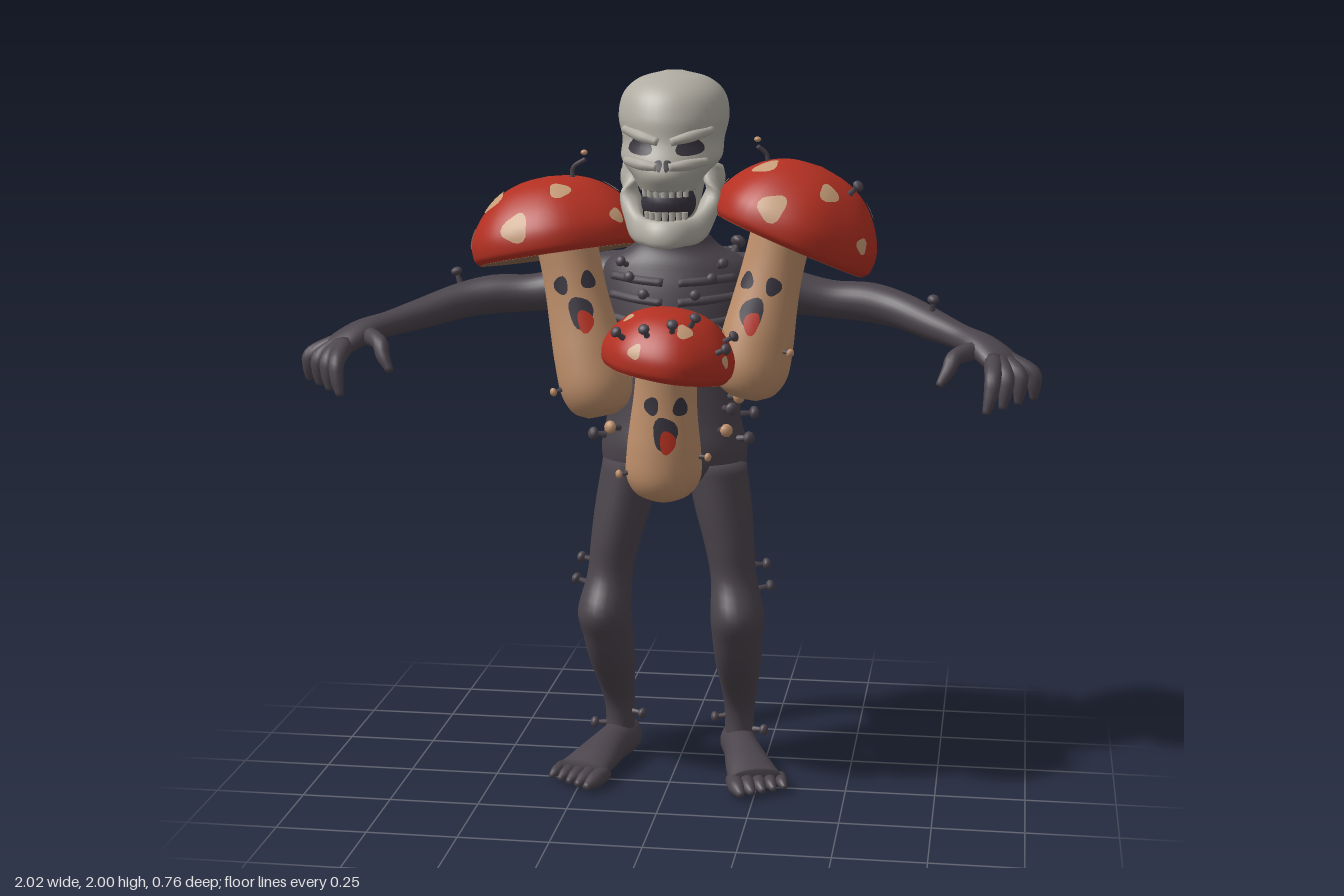
import * as THREE from 'three';

const V = (x, y, z) => new THREE.Vector3(x, y, z);
const X = V(1, 0, 0), Y = V(0, 1, 0), Z = V(0, 0, 1);
const PI = Math.PI;
const flip = (pts, s) => pts.map(([x, ...rest]) => [x * s, ...rest]);

function mat(name, color, side = THREE.FrontSide) {
  const m = new THREE.MeshStandardMaterial({ color, side });
  m.name = name;
  return m;
}

function build(pos, idx) {
  const g = new THREE.BufferGeometry();
  g.setAttribute('position', new THREE.Float32BufferAttribute(pos, 3));
  g.setIndex(idx);
  g.computeVertexNormals();
  return g;
}

// Surface through elliptical rings [x, y, z, radius along ref, radius across]
function loft(pts, { axis = null, ref = Z, seg = 40, rad = 28, close = true, warp = () => 1 } = {}) {
  const curve = list => new THREE.CatmullRomCurve3(list, false, 'catmullrom', 0.5);
  const cen = curve(pts.map(p => V(p[0], p[1], p[2])));
  const radii = curve(pts.map(p => V(p[3], p[4] ?? p[3], 0)));
  const at = (t, a, k = 1) => {
    t = Math.min(1, Math.max(0, t));
    const c = cen.getPoint(t), r = radii.getPoint(t), ax = axis || cen.getTangent(t);
    const u = ref.clone().addScaledVector(ax, -ref.dot(ax)).normalize();
    const v = ax.clone().cross(u);
    k *= warp(t, a);
    return c.addScaledVector(u, Math.cos(a) * Math.max(0, r.x) * k)
      .addScaledVector(v, Math.sin(a) * Math.max(0, r.y) * k);
  };
  const rows = [];
  for (let i = 0; i <= seg; i++) rows.push([i / seg, 1]);
  if (close) { rows.unshift([0, 0]); rows.push([1, 0]); }
  const pos = [], idx = [];
  rows.forEach(([t, k], i) => {
    for (let j = 0; j < rad; j++) {
      pos.push(...at(t, j / rad * PI * 2, k).toArray());
      if (i === rows.length - 1) continue;
      const a = i * rad + j, b = i * rad + (j + 1) % rad;
      idx.push(a, b, a + rad, b, b + rad, a + rad);
    }
  });
  // Partial derivatives along and around the surface
  const e = 0.005;
  const dT = (t, a) => at(t + e, a).sub(at(t - e, a)).divideScalar(2 * e);
  const dA = (t, a) => at(t, a + e).sub(at(t, a - e)).divideScalar(2 * e);
  const normal = (t, a) => dA(t, a).cross(dT(t, a)).normalize();
  return { geo: build(pos, idx), at, dT, dA, normal };
}

// Thin painted blob that hugs a lofted surface; w and h are half sizes
function decal(surf, t0, a0, w, h, lift = 0.004, wobble = 0.1) {
  const n = 18, rings = 4, pos = [], idx = [];
  const st = h / surf.dT(t0, a0).length(), sa = w / surf.dA(t0, a0).length();
  for (let i = 0; i <= rings; i++) for (let j = 0; j < n; j++) {
    const q = j / n * PI * 2, k = i / rings * (1 + wobble * Math.sin(3 * q + a0 * 5));
    const t = t0 + st * k * Math.sin(q), a = a0 + sa * k * Math.cos(q);
    pos.push(...surf.at(t, a).addScaledVector(surf.normal(t, a), lift).toArray());
    if (i === rings) continue;
    const p = i * n + j, r = i * n + (j + 1) % n;
    idx.push(p, p + n, r, r, p + n, r + n);
  }
  return build(pos, idx);
}

export function createModel() {
  const model = new THREE.Group();
  const skin = mat('charred skin', 0x4b444c), bone = mat('bone', 0xb0aca2);
  const red = mat('cap red', 0xb33022), stemTan = mat('stem tan', 0xbd8e6a);
  const gill = mat('gill brown', 0x86664a, THREE.DoubleSide);
  const spot = mat('spot cream', 0xc69c78, THREE.DoubleSide);
  const dark = mat('hollow dark', 0x38343e, THREE.DoubleSide);
  const tongue = mat('tongue red', 0xbb3222, THREE.DoubleSide);
  const add = (name, geo, m, parent = model) => {
    const mesh = new THREE.Mesh(geo, m);
    mesh.name = name;
    parent.add(mesh);
    return mesh;
  };

  // Tiny stalk with a button head, growing out of a lofted surface
  const stalkGeo = new THREE.CylinderGeometry(0.2, 0.3, 1, 6).translate(0, 0.5, 0);
  const headGeo = new THREE.SphereGeometry(0.55, 10, 8).scale(1, 0.75, 1).translate(0, 1.1, 0);
  function sprout(surf, t, a, size = 0.03, head = skin, parent = model) {
    const g = new THREE.Group();
    g.name = 'sprout';
    add('sproutStalk', stalkGeo, skin, g);
    add('sproutHead', headGeo, head, g);
    g.position.copy(surf.at(t, a));
    g.quaternion.setFromUnitVectors(Y, surf.normal(t, a));
    g.scale.setScalar(size);
    parent.add(g);
  }

  // Torso and ribs
  const torso = loft([[0, .83, -.1, .06, .08], [0, .89, -.1, .13, .185], [0, .96, -.1, .147, .205], [0, 1.05, -.085, .115, .188],
    [0, 1.15, -.11, .13, .188], [0, 1.3, -.15, .155, .205], [0, 1.4, -.17, .157, .22], [0, 1.47, -.165, .13, .2],
    [0, 1.53, -.13, .075, .11], [0, 1.62, -.09, .05, .06]], { axis: Y, rad: 40, seg: 60 });
  add('torso', torso.geo, skin);
  for (let i = 0; i < 4; i++) for (const s of [-1, 1]) {
    const rib = [.1, .45, .9].map(a => [...torso.at((4.4 + i * .65 + a * .2) / 9, s * a).toArray(), .012]);
    add('rib', loft(rib, { ref: Y, seg: 12, rad: 10 }).geo, skin);
  }

  for (const s of [-1, 1]) {
    // Leg, foot and toes
    const leg = loft(flip([[.18, .03, -.21, .06, .045], [.175, .13, -.21, .05, .042], [.178, .21, -.185, .055, .048],
      [.182, .33, -.11, .09, .064], [.185, .42, -.06, .1, .07], [.188, .5, -.025, .1, .075], [.175, .6, -.045, .076, .064],
      [.16, .7, -.058, .088, .07], [.14, .8, -.08, .108, .08], [.115, .93, -.1, .12, .085]], s), { axis: Y });
    add('leg', leg.geo, skin);
    for (const t of [.08, .63, .7]) sprout(leg, t, s * (1.2 + t), .03);
    sprout(leg, .13, -s * 1.2, .028);
    add('foot', loft(flip([[.15, .04, -.285, .03, .025], [.165, .055, -.24, .053, .05], [.19, .055, -.15, .053, .052],
      [.22, .045, -.05, .044, .066], [.25, .033, .03, .03, .078]], s), { ref: Y }).geo, skin);
    for (let i = 0; i < 5; i++) {
      const o = (i - 2) * .032, x = .25 + o, z = .03 - o * .35, l = .075 - i * .008, r = .024 - i * .002;
      add('toe', loft(flip([[x, .027, z - .03, r], [x + l * .2, .027, z + l * .4, r * .95],
        [x + l * .45, .02, z + l, r * .4]], s), { ref: Y, seg: 12, rad: 12 }).geo, skin);
    }

    // Arm and palm
    const arm = loft(flip([[.08, 1.4, -.19, .09], [.2, 1.405, -.21, .085, .09], [.3, 1.385, -.22, .064, .07],
      [.42, 1.365, -.22, .053, .056], [.53, 1.36, -.205, .055, .058], [.62, 1.345, -.165, .05, .053], [.71, 1.32, -.09, .043, .046],
      [.79, 1.3, -.01, .035, .038], [.85, 1.285, .05, .034, .05], [.9, 1.255, .1, .03, .058], [.925, 1.225, .125, .02, .04]], s),
      { ref: Y, seg: 50 });
    add('arm', arm.geo, skin);
    sprout(arm, s < 0 ? .49 : .6, .2);

    // Thumb and four drooping fingers
    const digit = (name, base, mid, tip) => add(name, loft(flip([[...base, .026], [...mid, .022],
      [...mid.map((m, i) => (m + tip[i]) / 2 + .004), .019], [...tip, .01]], s), { ref: X, seg: 16, rad: 12 }).geo, skin);
    digit('thumb', [.835, 1.28, .06], [.78, 1.27, .13], [.74, 1.2, .175]);
    for (let i = 0; i < 4; i++)
      digit('finger', [.88 + i * .01, 1.26, .12 - i * .013], [.88 + i * .033, 1.23, .2 - i * .033],
        [.865 + i * .041, 1.14 + .006 * i, .235 - i * .045]);

    // Ragged strap crossing the back, beset with sprouts
    const strap = [];
    for (let i = 0; i <= 8; i++) {
      const t = (4 + 3.1 * i / 8) / 9, a = PI + s * (1.15 - i / 4);
      strap.push([...torso.at(t, a).toArray(), .016, .034]);
      sprout(torso, t + .012 * Math.sin(i * 4), a, .04);
    }
    add('backStrap', loft(strap, { warp: (t, a) => 1 + .2 * Math.sin(t * 60) + .12 * Math.sin(t * 37 + a) }).geo, skin);

    // Sprouts along the flanks and chest
    for (let i = 0; i < 6; i++) sprout(torso, .27 + i * .035, s * (1.2 + .5 * Math.sin(i * 4)), .034, i % 3 === 1 ? stemTan : skin);
    for (let i = 0; i < 3; i++) sprout(torso, .66 + i * .06, s * (.3 + i * .2), .028);
  }

  // Skull
  const skull = loft([[0, 1.69, .025, .085, .075], [0, 1.73, .005, .125, .1], [0, 1.77, -.04, .158, .135], [0, 1.82, -.08, .178, .138],
    [0, 1.88, -.088, .177, .15], [0, 1.94, -.095, .155, .138], [0, 1.98, -.095, .1, .095], [0, 2, -.095, .025, .025]],
    { axis: Y, rad: 40, seg: 50 });
  add('skull', skull.geo, bone);
  add('boneNeck', loft([[0, 1.48, -.12, .05], [0, 1.58, -.09, .052, .06], [0, 1.72, -.08, .07, .09]], { axis: Y }).geo, bone);

  // Open jaw, mouth and teeth
  add('mouthHollow', new THREE.SphereGeometry(1, 20, 14).scale(.075, .06, .07).translate(0, 1.655, .015), dark);
  const halfJaw = [[-.118, 1.75, -.06, .02, .03], [-.11, 1.66, -.03, .022, .034], [-.085, 1.59, .03, .035, .02], [-.04, 1.578, .085, .036, .018]];
  add('jaw', loft([...halfJaw, [0, 1.575, .1, .038, .018], ...flip(halfJaw, -1).reverse()],
    { ref: V(0, 1, -.35).normalize(), seg: 60, rad: 16 }).geo, bone);
  const tooth = new THREE.CylinderGeometry(.009, .007, .03, 8);
  for (let i = -3; i <= 3; i++) {
    const x = Math.sin(i * .29), z = Math.cos(i * .29);
    add('upperTooth', tooth, bone).position.set(x * .072, 1.69, .025 + z * .078);
    add('lowerTooth', tooth, bone).position.set(x * .066, 1.618, .02 + z * .066);
  }

  // Eye sockets, nose, brows and cheekbones
  for (const s of [-1, 1]) {
    add('eyeSocket', decal(skull, .395, s * .5, .042, .028, .004, .12), dark);
    add('noseHole', decal(skull, .25, s * .09, .01, .017), dark);
    const ridge = (name, t, rise) => add(name, loft([.12, .5, .95].map((a, i) =>
      [...skull.at(t + rise * i, s * a).toArray(), .011 + .004 * (i % 2)]), { ref: Y, seg: 14, rad: 10 }).geo, bone);
    ridge('brow', .43, .035);
    ridge('cheekbone', .24, .02);
  }

  // Large mushroom with a screaming face on its stem
  function mushroom(name, base, top, capAt, axis, R, H, face, turn, spots) {
    const g = new THREE.Group();
    g.name = name;
    model.add(g);
    const stem = loft([[0, .4], [.05, .8], [.16, 1.02], [.33, 1], [.5, .92], [.67, .85], [.83, .83], [1, .85]]
      .map(([k, q]) => [...base.clone().lerp(top, k).toArray(), .1 * q]), { warp: (t, a) => 1 + .02 * Math.sin(3 * a + t * 9) });
    add('mushroomStem', stem.geo, stemTan, g);
    for (const s of [-1, 1]) {
      add('mushroomEye', decal(stem, face + .14, turn + s * .45, .021, .025), dark, g);
      sprout(stem, .36 + s * .05, turn + s * 1.2, .022, stemTan, g);
    }
    add('mushroomMouth', decal(stem, face, turn, .032, .045), dark, g);
    add('mushroomTongue', decal(stem, face - .045, turn + .08, .02, .032, .008), tongue, g);

    const cap = new THREE.Group();
    cap.name = 'mushroomCap';
    cap.position.copy(capAt);
    cap.quaternion.setFromUnitVectors(Y, axis.normalize());
    g.add(cap);
    const options = { axis: Y, close: false, rad: 48, warp: (t, a) => 1 + .025 * Math.sin(3 * a + R * 40) + .012 * Math.sin(7 * a) };
    const ring = (y, q) => [0, y, 0, R * q];
    const dome = loft([ring(-.03, .93), ring(-.01, .99), ring(.2 * H, .98), ring(.5 * H, .85), ring(.78 * H, .62), ring(.94 * H, .34), ring(H, 0)], options);
    add('capDome', dome.geo, red, cap);
    add('capGills', loft([ring(.03, .2), ring(.02, .5), ring(-.005, .8), ring(-.03, .935)], options).geo, gill, cap);
    // Cream spots in two staggered rows
    for (let i = 0; i < spots; i++) {
      const a = i / spots * PI * 2 + .35, k = R * (.12 + .04 * Math.sin(i * 5));
      add('capSpot', decal(dome, i % 2 ? .36 : .62, a, k, k * 1.1, .004, .14), spot, cap);
    }
    return { dome, cap };
  }
  const right = mushroom('rightMushroom', V(-.185, 1.06, .005), V(-.3, 1.55, -.06), V(-.325, 1.52, -.09), V(-.17, 1, -.14), .242, .19, .63, .2, 10);
  const left = mushroom('leftMushroom', V(.205, 1.12, -.005), V(.305, 1.6, -.06), V(.325, 1.56, -.085), V(.42, 1, -.12), .235, .2, .55, -.25, 10);
  const middle = mushroom('middleMushroom', V(0, .865, .14), V(.02, 1.29, .17), V(.025, 1.25, .19), V(.15, 1, -.02), .178, .145, .56, .15, 8);
  for (let i = 0; i < 6; i++) sprout(middle.dome, .45 + .08 * (i % 4), -.8 + i * .45, .028, skin, middle.cap);
  sprout(left.dome, .7, .9, .03, skin, left.cap);

  // Bent twigs with buds on top of the outer caps
  for (const [x, y, z, lean] of [[-.275, 1.69, -.06, .035], [.255, 1.73, -.08, -.025]]) {
    const twig = loft([[x, y, z, .007], [x, y + .045, z, .006], [x + lean, y + .07, z + .01, .006]], { seg: 12, rad: 8 });
    add('capTwig', twig.geo, skin);
    add('twigBud', headGeo, stemTan).position.copy(twig.at(1, 0));
    model.children.at(-1).scale.setScalar(.018);
  }

  return model;
}
